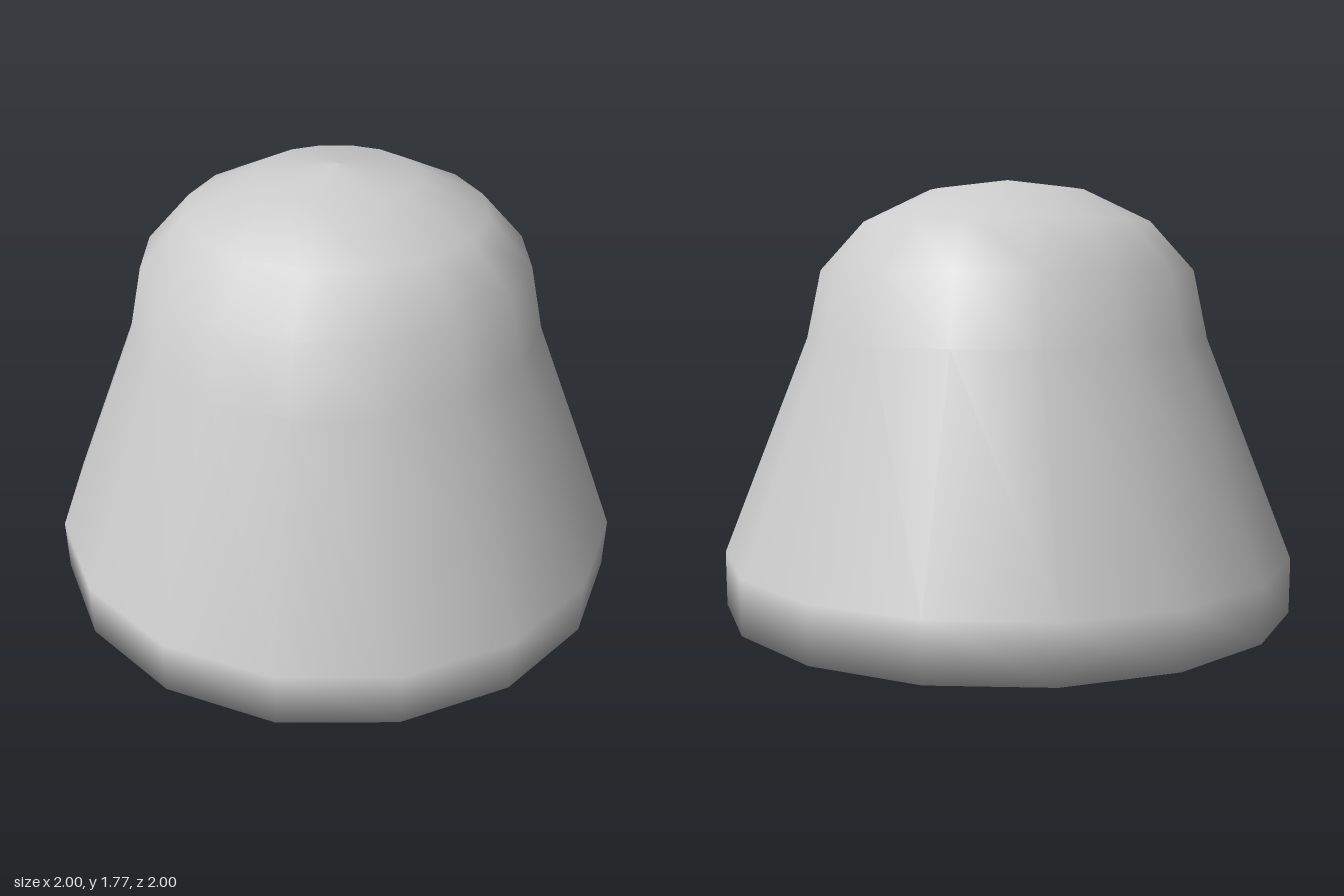
import * as THREE from 'three';

export function createModel() {
  const group = new THREE.Group();
  group.name = 'bell';

  const grey = new THREE.MeshStandardMaterial({ color: 0xcccccc });
  grey.name = 'light grey';

  // Profile from the pointed base, over the rim, up to the domed crown
  const profile = [
    [0, 0], [1, 0.29], [1, 0.48], [0.7, 1.23],
    [0.65, 1.46], [0.5, 1.625], [0.27, 1.735], [0, 1.77],
  ].map(([r, y]) => new THREE.Vector2(r, y));

  // Smooth-shaded sixteen-sided body with a vertex on each axis
  const body = new THREE.Mesh(new THREE.LatheGeometry(profile, 16), grey);
  body.name = 'body';
  group.add(body);

  return group;
}
